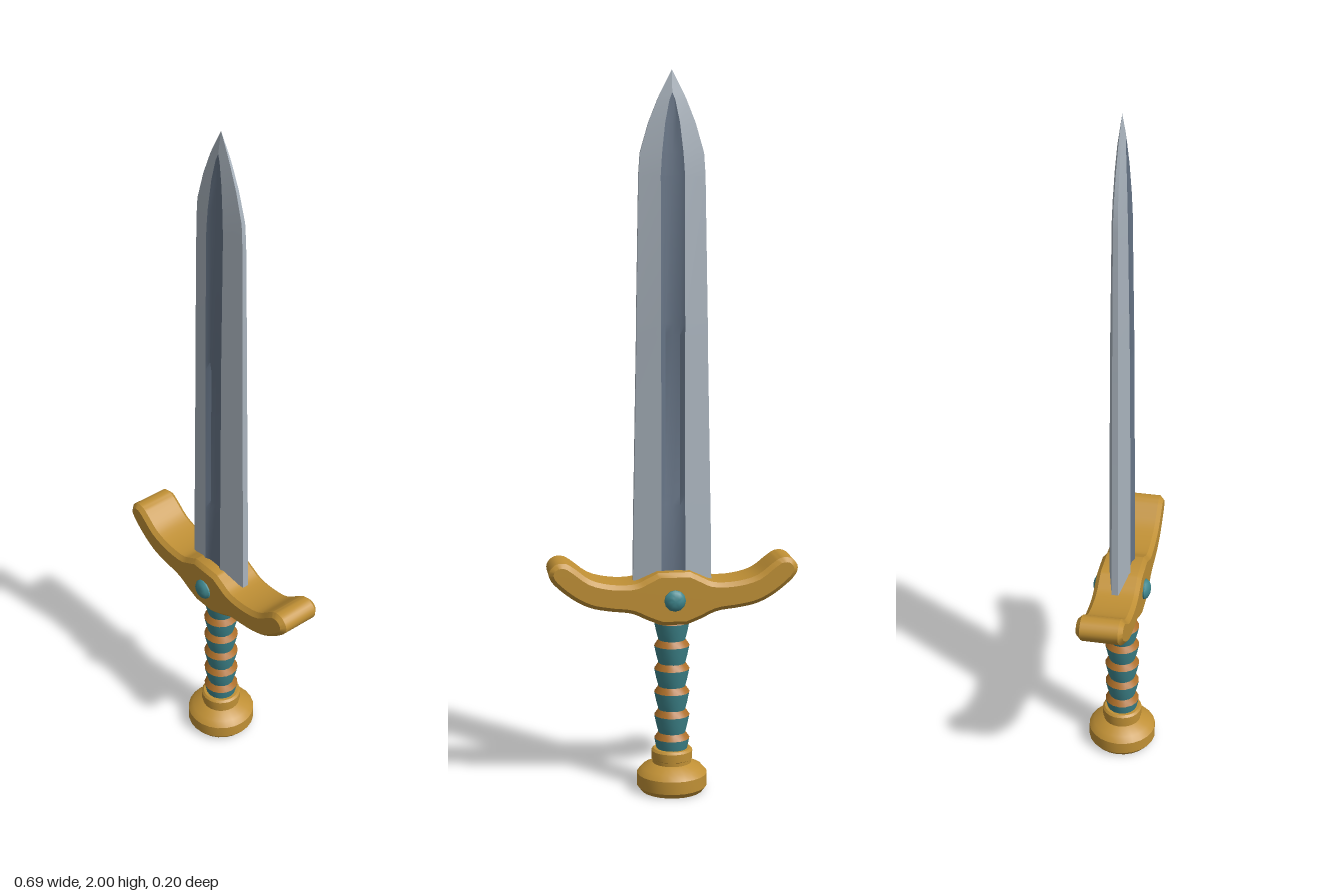
import * as THREE from 'three';
import { toCreasedNormals } from 'three/addons/utils/BufferGeometryUtils.js';

const material = (name, color) => {
  const m = new THREE.MeshStandardMaterial({ color });
  m.name = name;
  return m;
};

export function createModel() {
  const steel = material('steel', 0xa9b3bd);
  const darkSteel = material('dark steel', 0x667486);
  const gold = material('gold', 0xc09035);
  const teal = material('teal', 0x3f878e);
  const bronze = material('bronze', 0xae6f28);

  const model = new THREE.Group();
  model.name = 'sword';
  const add = (name, geometry, mat, crease = 0.5, parent = model) => {
    const mesh = new THREE.Mesh(toCreasedNormals(geometry, crease), mat);
    mesh.name = name;
    parent.add(mesh);
    return mesh;
  };
  const lathe = (profile, sides) =>
    new THREE.LatheGeometry(profile.map(([r, y]) => new THREE.Vector2(r, y)), sides);

  // Blade cross-sections: height, half width, fuller half width, half thickness, fuller depth
  const stations = [
    [0.58, 0.11, 0.034, 0.031, 0.006],
    [0.82, 0.107, 0.033, 0.03, 0.006],
    [0.85, 0.106, 0.033, 0.03, 0.01],
    [1.29, 0.098, 0.033, 0.027, 0.01],
    [1.32, 0.098, 0.033, 0.027, 0.006],
    [1.72, 0.091, 0.033, 0.021, 0.005],
    [1.78, 0.087, 0.029, 0.019, 0.004],
    [1.86, 0.064, 0.02, 0.015, 0.003],
    [1.92, 0.04, 0.008, 0.011, 0.001],
    [1.94, 0.031, 0, 0.009, 0],
    [2.0, 0, 0, 0, 0],
  ];
  const rings = stations.map(([y, w, f, t, d]) => {
    const half = [
      [w, t * 0.3], [f, t], [f * 0.6, t - d], [0, t - d * 1.1],
      [-f * 0.6, t - d], [-f, t], [-w, t * 0.3],
    ];
    return [...half, ...half.map(([x, z]) => [-x, -z])].map(([x, z]) => [x, y, z]);
  });
  const bladeFaces = (wanted) => {
    const pos = [];
    for (let j = 0; j < rings.length - 1; j++) {
      for (let i = 0; i < 14; i++) {
        if (!wanted(i % 7)) continue;
        const k = (i + 1) % 14;
        const a = rings[j][i], b = rings[j][k], c = rings[j + 1][i], d = rings[j + 1][k];
        pos.push(...a, ...c, ...b, ...b, ...c, ...d);
      }
    }
    const g = new THREE.BufferGeometry();
    g.setAttribute('position', new THREE.Float32BufferAttribute(pos, 3));
    return g;
  };
  const isFuller = (i) => i >= 1 && i <= 4;
  const blade = new THREE.Group();
  blade.name = 'blade';
  model.add(blade);
  add('bladeEdges', bladeFaces((i) => !isFuller(i)), steel, 0.3, blade);
  add('fuller', bladeFaces(isFuller), darkSteel, 0.5, blade);

  // Crossguard: half outline from top centre round the arm to bottom centre, then mirrored
  const arm = [
    [0.045, 0.637], [0.075, 0.622], [0.11, 0.607], [0.17, 0.607], [0.23, 0.622],
    [0.275, 0.655], [0.3, 0.67], [0.328, 0.668], [0.346, 0.645], [0.335, 0.615],
    [0.285, 0.572], [0.235, 0.545], [0.18, 0.533], [0.12, 0.525], [0.075, 0.505], [0.035, 0.489],
  ].map(([x, y]) => new THREE.Vector2(x, y));
  const right = new THREE.SplineCurve(arm).getPoints(48);
  const left = right.map((p) => new THREE.Vector2(-p.x, p.y)).reverse();
  const bevel = 0.012;
  const guard = new THREE.ExtrudeGeometry(new THREE.Shape([...right, ...left]), {
    depth: 0.13 - 2 * bevel, bevelEnabled: true, bevelSegments: 1,
    bevelSize: bevel, bevelThickness: bevel, bevelOffset: -bevel,
  });
  guard.translate(0, 0, -0.065 + bevel);
  add('crossguard', guard, gold, 0.5);

  // Gem on each face of the guard
  for (const side of [1, -1]) {
    const gem = lathe([[0.03, 0], [0.03, 0.012], [0.024, 0.02], [0.013, 0.025], [0, 0.026]], 12);
    gem.rotateX(side * Math.PI / 2);
    gem.translate(0, 0.56, side * 0.057);
    add(side > 0 ? 'frontGem' : 'backGem', gem, teal, 0.6);
  }

  // Grip: flared wraps, each with a sloping bronze shoulder
  const grip = new THREE.Group();
  grip.name = 'grip';
  model.add(grip);
  const step = 0.067;
  for (let i = 0; i < 6; i++) {
    const y = 0.1 + i * step;
    add('wrap', lathe([[0.038, y], [0.044, y + 0.022], [0.05, y + 0.05]], 16), teal, 0.6, grip);
    add('wrapShoulder', lathe([[0.05, y + 0.05], [0.038, y + step]], 16), bronze, 0.6, grip);
  }

  // Pommel with collar
  add('pommel', lathe([
    [0, 0], [0.088, 0], [0.099, 0.014], [0.099, 0.05], [0.085, 0.066],
    [0.055, 0.08], [0.055, 0.09], [0.058, 0.092], [0.058, 0.115], [0.052, 0.121], [0, 0.121],
  ], 24), gold, 0.45);

  return model;
}
